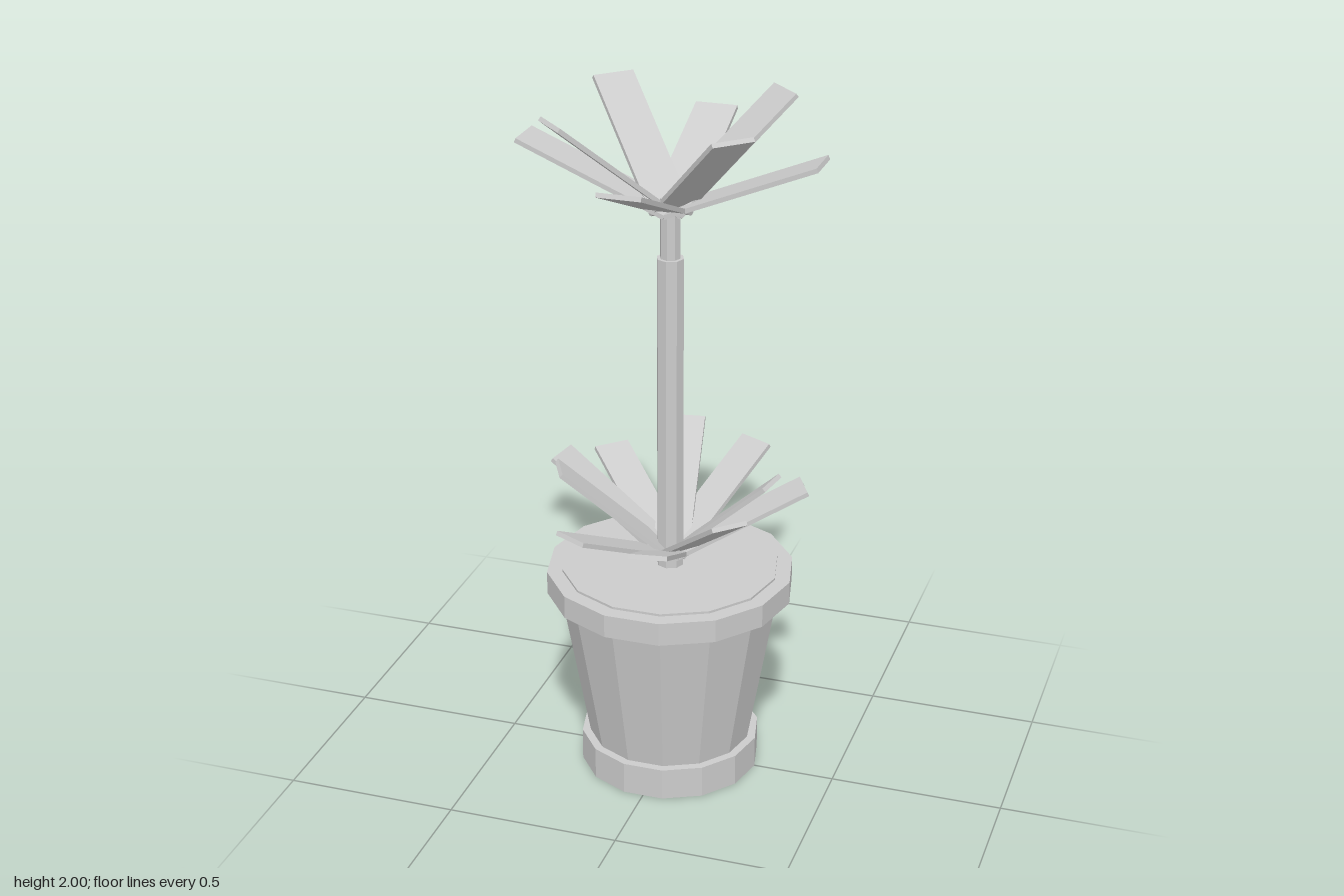
import * as THREE from 'three';

const grey = new THREE.MeshStandardMaterial({ color: 0xcccccc, flatShading: true });
grey.name = 'plain grey';

// Upright faceted cylinder between two heights
function column(name, rTop, rBottom, y0, y1, sides, turn = 0) {
  const geo = new THREE.CylinderGeometry(rTop, rBottom, y1 - y0, sides);
  geo.rotateY(turn);
  const mesh = new THREE.Mesh(geo, grey);
  mesh.position.y = (y0 + y1) / 2;
  mesh.name = name;
  return mesh;
}

// Flat blade running outward from the stem, raised by pitch and turned about it
function blade(name, width, length, y, pitch, turn) {
  const geo = new THREE.BoxGeometry(width, 0.013, length);
  geo.translate(0, 0, length / 2);
  geo.rotateX(-THREE.MathUtils.degToRad(pitch));
  geo.rotateY(THREE.MathUtils.degToRad(turn));
  const mesh = new THREE.Mesh(geo, grey);
  mesh.position.y = y;
  mesh.name = name;
  return mesh;
}

export function createModel() {
  const model = new THREE.Group();
  model.name = 'pottedFlower';

  // Pot: foot, tapered body, rim and soil
  const pot = new THREE.Group();
  pot.name = 'pot';
  const sides = 14, turn = Math.PI / sides;
  pot.add(
    column('potFoot', 0.262, 0.262, 0, 0.095, sides, turn),
    column('potBody', 0.32, 0.237, 0.09, 0.565, sides, turn),
    column('potRim', 0.357, 0.357, 0.56, 0.628, sides, turn),
    column('soil', 0.313, 0.313, 0.6, 0.635, sides, turn),
  );
  model.add(pot);

  // Stem with a thinner neck
  model.add(
    column('stem', 0.039, 0.039, 0.62, 1.57, 8),
    column('stemNeck', 0.029, 0.029, 1.56, 1.737, 8),
  );

  // Ten leaves at the base, cycling through three pitches
  const leaves = new THREE.Group();
  leaves.name = 'leaves';
  const pitches = [25, 34, 42.5];
  for (let i = 0; i < 10; i++) {
    leaves.add(blade('leaf', 0.107, 0.43, 0.668, pitches[i % 3], 9 + i * 36));
  }
  model.add(leaves);

  // Eight petals, alternately low and high
  const petals = new THREE.Group();
  petals.name = 'petals';
  for (let i = 0; i < 8; i++) {
    petals.add(blade('petal', 0.122, 0.457, 1.704, i % 2 ? 39.5 : 22.5, i * 45));
  }
  model.add(petals);

  return model;
}
